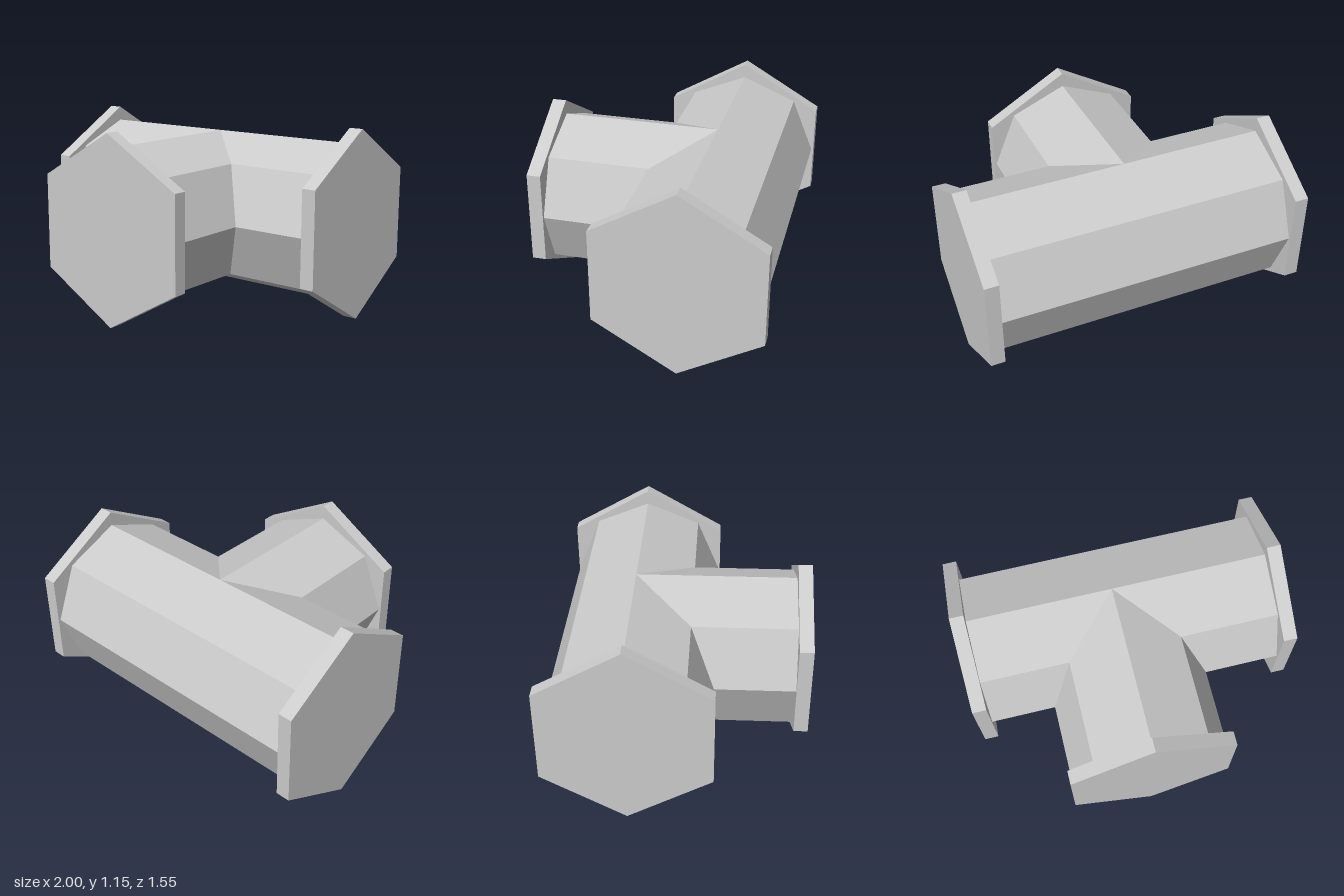
import * as THREE from 'three';

const CX = -0.033;   // branch axis x
const CY = 0.575;    // height of both axes
const CZ = -0.278;   // main pipe axis z
const PIPE_R = 0.485;
const FLANGE_R = 0.575;
const FLANGE_T = 0.085;
const FRONT = 0.775; // front end of the branch

// Prism along z with a corner pointing straight up
function prism(radius, sides, length, open) {
  return new THREE.CylinderGeometry(radius, radius, length, sides, 1, open).rotateX(Math.PI / 2);
}

export function createModel() {
  const group = new THREE.Group();
  const material = new THREE.MeshStandardMaterial({ color: 0xcccccc, flatShading: true });

  function add(name, geometry, x, y, z) {
    const mesh = new THREE.Mesh(geometry, material);
    mesh.name = name;
    mesh.position.set(x, y, z);
    group.add(mesh);
  }

  // Octagonal main pipe running along x
  const mainLength = 2 - 2 * FLANGE_T;
  add('mainPipe', prism(PIPE_R, 8, mainLength, true).rotateY(Math.PI / 2), 0, CY, CZ);

  // Octagonal branch towards the front, its back end mitred onto the main pipe
  const branchLength = FRONT - FLANGE_T - CZ;
  const branch = prism(PIPE_R, 8, branchLength, true).translate(0, 0, branchLength / 2);
  const p = branch.attributes.position;
  for (let i = 0; i < p.count; i++) {
    if (p.getZ(i) < branchLength / 2) p.setZ(i, Math.abs(p.getX(i)));
  }
  add('branchPipe', branch, CX, CY, CZ);

  // Solid hexagonal end flanges
  for (const side of [-1, 1]) {
    add(side > 0 ? 'leftFlange' : 'rightFlange',
      prism(FLANGE_R, 6, FLANGE_T, false).rotateY(Math.PI / 2),
      side * (1 - FLANGE_T / 2), CY, CZ);
  }
  add('frontFlange', prism(FLANGE_R, 6, FLANGE_T, false), CX, CY, FRONT - FLANGE_T / 2);

  return group;
}
